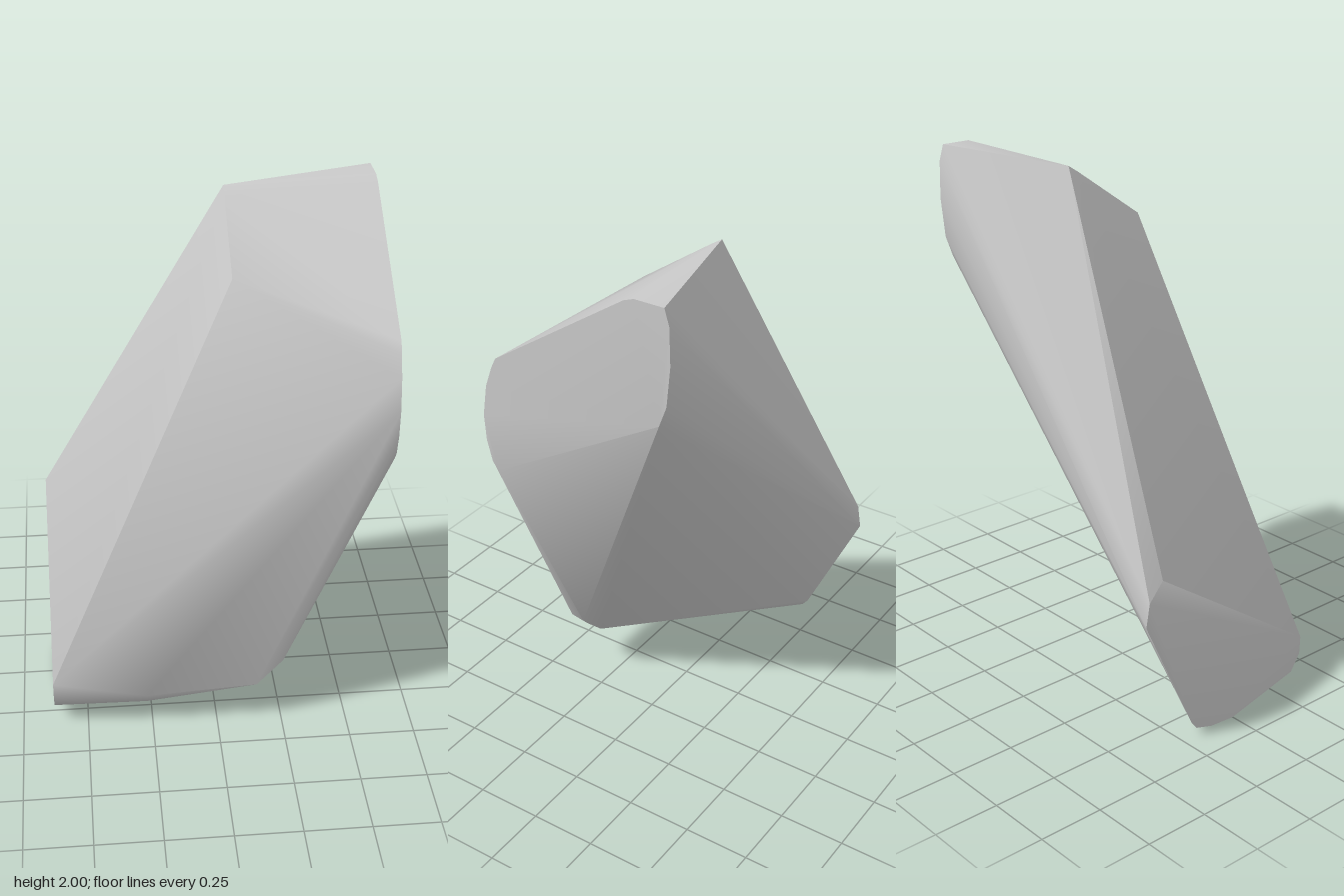
import * as THREE from 'three';
import { ConvexGeometry } from 'three/addons/geometries/ConvexGeometry.js';
import { toCreasedNormals } from 'three/addons/utils/BufferGeometryUtils.js';

// Corners of one cross-section at x, given as [y, z]
const section = (x, corners) => corners.map(([y, z]) => new THREE.Vector3(x, y, z));

export function createModel() {
  const group = new THREE.Group();
  group.name = 'rock';

  const stone = new THREE.MeshStandardMaterial({ color: 0xc9c9c9 });
  stone.name = 'stone grey';

  const points = [
    // flat left end, low
    ...section(-0.628, [
      [0.69, -0.36], [0.62, -0.42], [0.53, -0.435], [0.06, -0.21], [0.03, -0.185],
      [0.008, -0.11], [0, 0], [0.075, 0.31], [0.14, 0.352], [0.21, 0.355],
    ]),
    // lower front edge
    ...section(-0.27, [[0.06, 0.25], [0.085, 0.33], [0.145, 0.372]]),
    ...section(0.15, [[0.18, 0.32], [0.18, 0.385]]),
    ...section(0.25, [[0.28, 0.33], [0.29, 0.385]]),
    // top ridge
    ...section(0.07, [[1.99, -0.19], [1.965, -0.15], [1.77, 0.135]]),
    // flat right end, high
    ...section(0.628, [
      [1.985, -0.18], [2, -0.22], [2, -0.335], [1.94, -0.353], [1.8, -0.356],
      [1.65, -0.34], [1.57, -0.31], [1.165, 0.385], [1.2, 0.41], [1.28, 0.43],
      [1.38, 0.435], [1.5, 0.415], [1.58, 0.385], [1.62, 0.365],
    ]),
  ];

  // One convex stone: soft where facets nearly align, sharp at the main edges
  const geometry = toCreasedNormals(new ConvexGeometry(points), 0.8);
  const body = new THREE.Mesh(geometry, stone);
  body.name = 'rockBody';
  group.add(body);
  return group;
}
